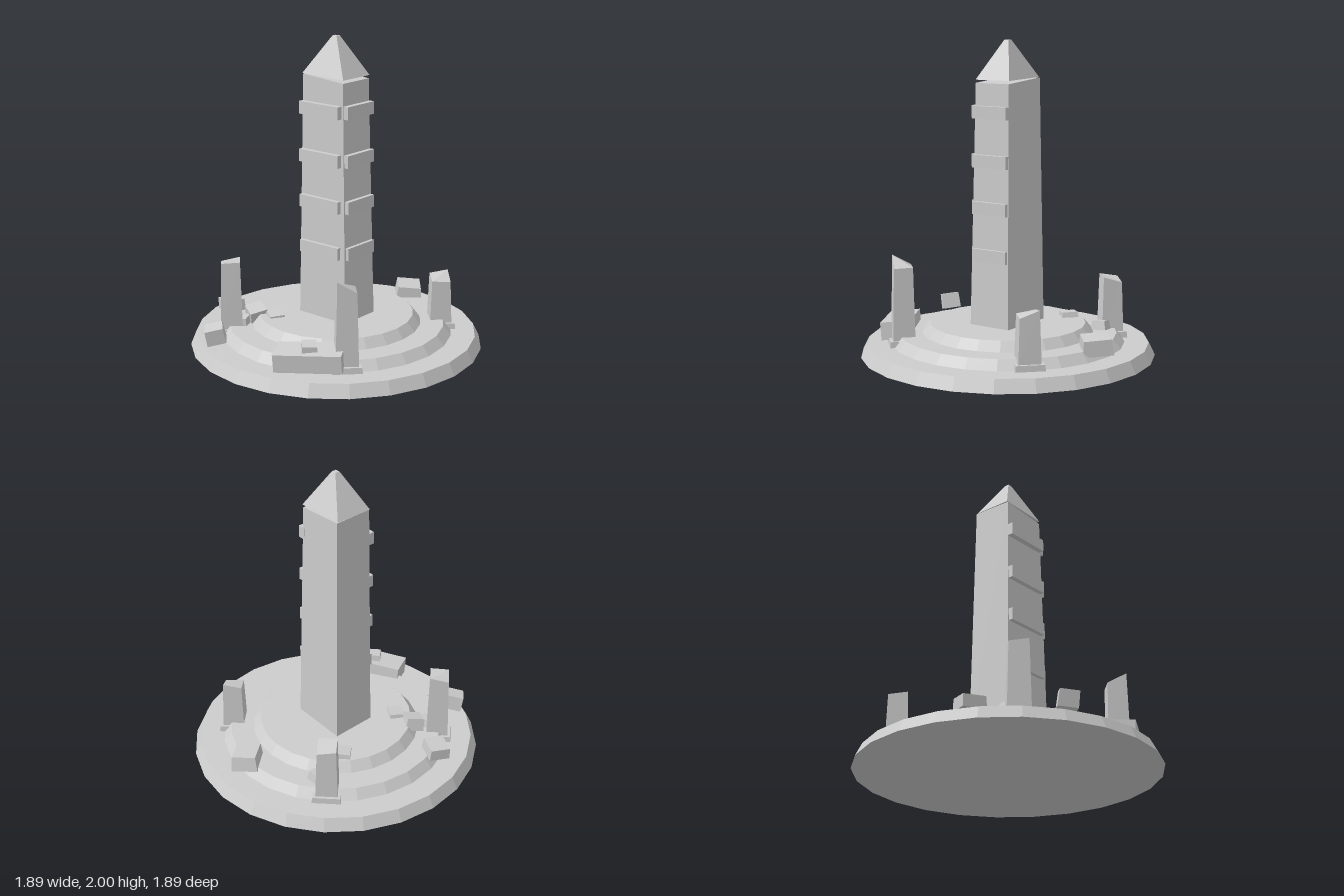
import * as THREE from 'three';

const stone = new THREE.MeshStandardMaterial({ color: 0xcccccc });
stone.name = 'paleStone';

// Six-sided solid from four bottom and four top corners,
// each ordered front-left, front-right, back-right, back-left (or any matching turn).
function hexahedron(bottom, top) {
  const c = [...bottom, ...top];
  const quads = [[3, 2, 1, 0], [4, 5, 6, 7]];
  for (let i = 0; i < 4; i++) {
    const j = (i + 1) % 4;
    quads.push([i, j, j + 4, i + 4]);
  }
  const pos = [];
  for (const [a, b, d, e] of quads) pos.push(...c[a], ...c[b], ...c[d], ...c[a], ...c[d], ...c[e]);
  const g = new THREE.BufferGeometry();
  g.setAttribute('position', new THREE.Float32BufferAttribute(pos, 3));
  g.computeVertexNormals();
  return g;
}

export function createModel() {
  const model = new THREE.Group();
  model.name = 'ruinedObelisk';

  const add = (name, geometry, x = 0, y = 0, z = 0) => {
    const mesh = new THREE.Mesh(geometry, stone);
    mesh.name = name;
    mesh.position.set(x, y, z);
    model.add(mesh);
    return mesh;
  };

  // Stepped round base
  [[0.945, 0.905, 0, 0.08], [0.75, 0.7, 0.08, 0.14], [0.55, 0.5, 0.14, 0.2]].forEach(([r0, r1, y0, y1], i) => {
    const g = new THREE.CylinderGeometry(r1, r0, y1 - y0, 24).toNonIndexed();
    g.computeVertexNormals();
    add('baseStep' + (i + 1), g, 0, (y0 + y1) / 2, 0);
  });

  // Tapered shaft, with a slightly uneven broken top
  add('shaft', hexahedron(
    [[-0.18, 0.2, 0.15], [0.2, 0.2, 0.15], [0.2, 0.2, -0.14], [-0.19, 0.2, -0.15]],
    [[-0.158, 1.762, 0.13], [0.163, 1.735, 0.13], [0.163, 1.735, -0.12], [-0.166, 1.762, -0.13]]
  ));

  // Pyramid cap
  const t = 0.016;
  add('cap', hexahedron(
    [[-0.165, 1.765, 0.13], [0.165, 1.755, 0.13], [0.165, 1.755, -0.125], [-0.165, 1.765, -0.125]],
    [[-t, 2, t], [t, 2, t], [t, 2, -t], [-t, 2, -t]]
  ));

  // Raised bands on the front and left faces
  [0.655, 0.955, 1.25, 1.555].forEach((y, i) => {
    const inset = i * 0.003;
    add('frontBand', new THREE.BoxGeometry(0.315, 0.08, 0.05), -0.003, y, 0.145);
    add('sideBand', new THREE.BoxGeometry(0.05, 0.08, 0.255), 0.186 - inset, y, 0.003);
  });

  // Broken pillars on plinths; top heights run front, left (+x), back, right (-x)
  const pillars = [
    [0.48, 0.475, [0.65, 0.58, 0.585, 0.585]],
    [-0.48, 0.48, [0.56, 0.565, 0.565, 0.54]],
    [0.48, -0.48, [0.4, 0.395, 0.44, 0.42]],
    [-0.48, -0.48, [0.48, 0.475, 0.44, 0.46]]
  ];
  const turn = [[0, 1], [1, 0], [0, -1], [-1, 0]];
  for (const [x, z, heights] of pillars) {
    const ring = (r, ys) => turn.map(([dx, dz], i) => [x + dx * r, ys[i], z + dz * r]);
    const level = (y) => [y, y, y, y];
    add('plinth', hexahedron(ring(0.13, level(0.08)), ring(0.125, level(0.118))));
    add('pillar', hexahedron(ring(0.1, level(0.1)), ring(0.085, heights)));
  }

  // Fallen rubble: name, position, size, rotation, top taper
  const rubble = [
    ['fallenSlab', [0.32, 0.155, 0.625], [0.42, 0.115, 0.19], [0.1, 0.52, 0], 1],
    ['slabChip', [0.32, 0.21, 0.63], [0.1, 0.08, 0.11], [0.15, 0.75, -0.1], 0.9],
    ['frontBlock', [-0.365, 0.17, 0.745], [0.12, 0.1, 0.12], [0.15, 0.78, 0.1], 0.95],
    ['sideBlock', [-0.67, 0.17, 0.285], [0.15, 0.075, 0.135], [0.08, -0.4, 0.08], 0.95],
    ['stepBlock', [-0.385, 0.19, 0.345], [0.125, 0.085, 0.12], [0.2, -0.5, -0.12], 0.95],
    ['stepChip', [-0.42, 0.16, 0.45], [0.1, 0.06, 0.09], [0.1, 0.4, 0], 0.9],
    ['thinShard', [-0.25, 0.205, 0.315], [0.12, 0.025, 0.1], [0.06, -0.55, -0.08], 0.95],
    ['rearShard', [-0.35, 0.212, -0.24], [0.11, 0.035, 0.11], [0.06, 0.8, 0.05], 0.9],
    ['rearBlock', [0.06, 0.165, -0.7], [0.17, 0.1, 0.19], [0.1, 0.7, -0.15], 0.9],
    ['rearChip', [-0.38, 0.165, -0.47], [0.09, 0.06, 0.1], [0.1, 0.1, 0.1], 0.9]
  ];
  for (const [name, p, [w, h, d], rotation, taper] of rubble) {
    const corners = (y, s) => [[-1, 1], [1, 1], [1, -1], [-1, -1]].map(([a, b]) => [a * w * s / 2, y, b * d * s / 2]);
    add(name, hexahedron(corners(-h / 2, 1), corners(h / 2, taper)), ...p).rotation.set(...rotation);
  }

  return model;
}
